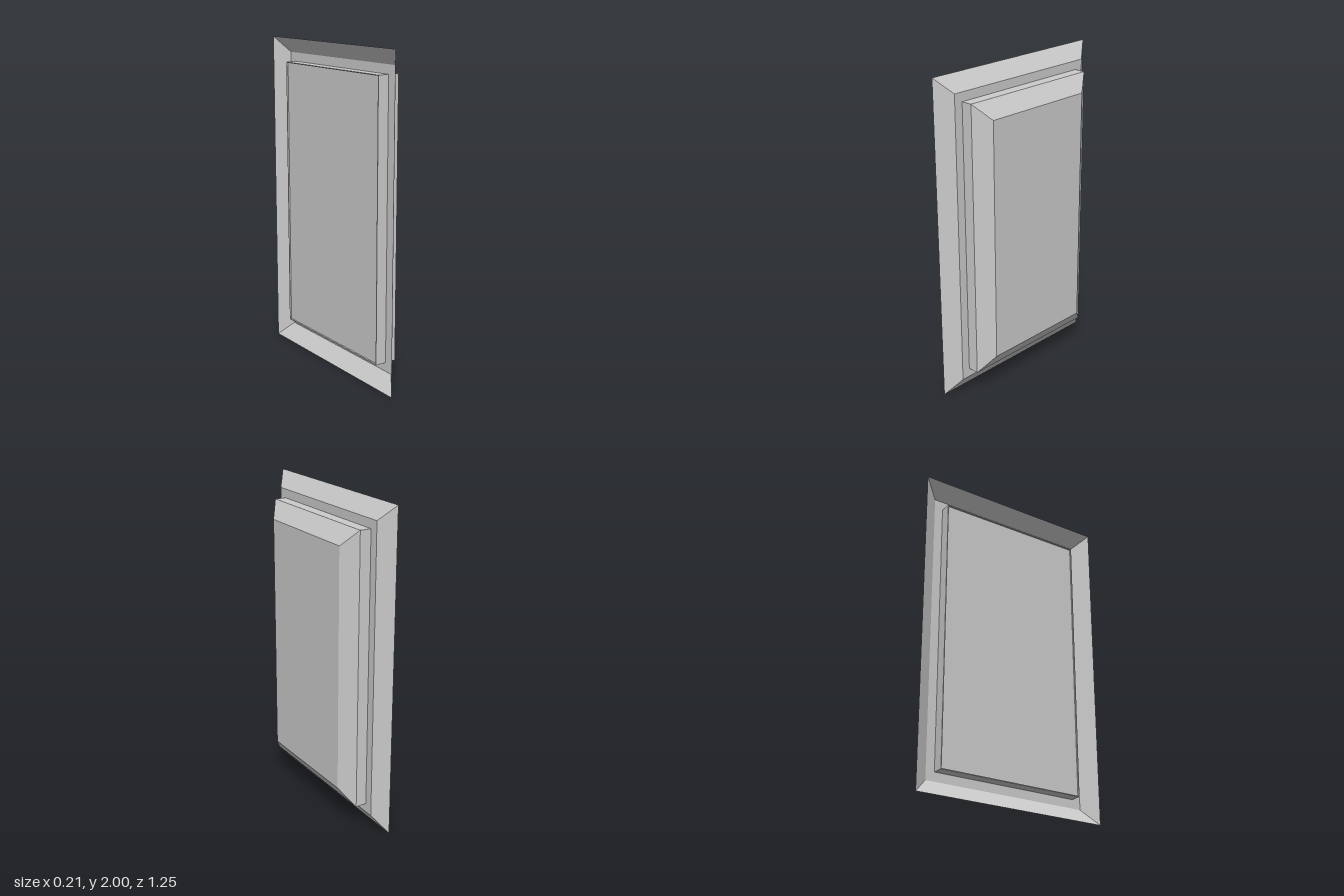
import * as THREE from 'three';

const EXTRA = 0.375; // half height minus half width, the same for every outline
const SIGNS = [[1, 1], [1, -1], [-1, -1], [-1, 1]]; // y, z sign of each corner

// Lofts mitred rectangles along x; each profile entry is [x, half width in z]
function mitredLoft(name, profile, capped, side) {
  const loops = profile.map(([x, hz]) =>
    SIGNS.map(([sy, sz]) => [x, 1 + sy * (hz + EXTRA), sz * hz]));
  const positions = [];
  const quad = (a, b, c, d) => positions.push(...a, ...b, ...c, ...a, ...c, ...d);

  for (let k = 0; k < loops.length - 1; k++) {
    const a = loops[k], b = loops[k + 1];
    for (let i = 0; i < 4; i++) {
      const j = (i + 1) % 4;
      quad(a[i], b[i], b[j], a[j]);
    }
  }
  if (capped) {
    const back = loops[0], front = loops[loops.length - 1];
    quad(back[0], back[1], back[2], back[3]);
    quad(front[0], front[3], front[2], front[1]);
  }

  const geometry = new THREE.BufferGeometry();
  geometry.setAttribute('position', new THREE.Float32BufferAttribute(positions, 3));
  geometry.computeVertexNormals();
  const material = new THREE.MeshStandardMaterial({ color: 0xcccccc, flatShading: true, side });
  const mesh = new THREE.Mesh(geometry, material);
  mesh.name = name;
  return mesh;
}

export function createModel() {
  const group = new THREE.Group();
  group.name = 'raisedPanel';

  // Thin surround: sloping outer border and flat ledge, open at the back
  group.add(mitredLoft('surround', [
    [-0.105, 0.625], [-0.035, 0.53], [-0.035, 0.475],
  ], false, THREE.DoubleSide));

  // Thick centre panel: shallow back recess, narrow rim, straight sides, bevelled face
  group.add(mitredLoft('centrePanel', [
    [-0.095, 0.47], [-0.105, 0.47], [-0.105, 0.475], [0.035, 0.475], [0.105, 0.375],
  ], true, THREE.FrontSide));

  return group;
}
